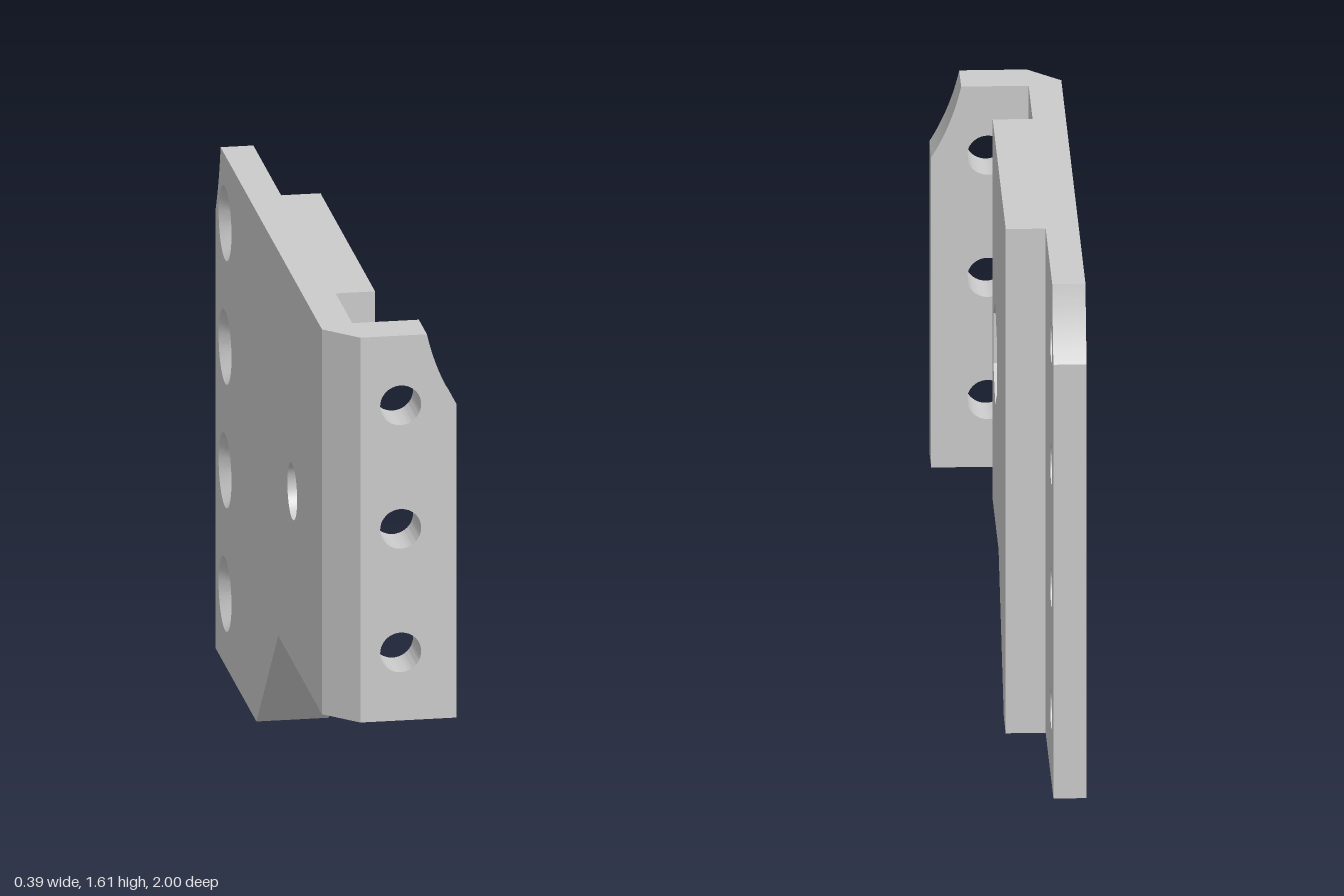
import * as THREE from 'three';
import { toCreasedNormals } from 'three/addons/utils/BufferGeometryUtils.js';

const TOP = 1.61, FLANGE_BOTTOM = 0.395;
const OUTER = -0.2, INNER = -0.1, BLOCK = 0.02; // x of plate outside, plate inside, block face
const FLANGE_BACK = 0.855;

const material = new THREE.MeshStandardMaterial({ color: 0xcccccc });

function addMesh(group, name, geometry) {
  const mesh = new THREE.Mesh(toCreasedNormals(geometry, 0.5), material);
  mesh.name = name;
  group.add(mesh);
  return mesh;
}

function extrude(shape, depth) {
  return new THREE.ExtrudeGeometry(shape, { depth, bevelEnabled: false, curveSegments: 24 });
}

// Side profiles are drawn in (-z, y) and extruded along x.
function extrudeX(shape, x0, x1) {
  return extrude(shape, x1 - x0).rotateY(Math.PI / 2).translate(x0, 0, 0);
}

function polygon(points) {
  return new THREE.Shape(points.map(([a, b]) => new THREE.Vector2(a, b)));
}

function cutCircle(shape, a, b, r) {
  shape.holes.push(new THREE.Path().absarc(a, b, r, 0, Math.PI * 2, true));
}

export function createModel() {
  const group = new THREE.Group();
  group.name = 'mountingBracket';

  const boltZ = 0.37, boltY = 0.93;
  const screwZ = -0.83, screwYs = [0.225, 0.615, 1.005, 1.395];
  const screwR = 0.0625, sinkR = 0.115;

  // Main plate with scooped rear top corner and sloped lower edge
  const plate = new THREE.Shape();
  plate.moveTo(-FLANGE_BACK, FLANGE_BOTTOM);
  plate.lineTo(-0.12, FLANGE_BOTTOM);
  plate.lineTo(0.27, 0);
  plate.lineTo(1, 0);
  plate.lineTo(1, 1.385);
  plate.quadraticCurveTo(0.937, 1.488, 0.91, TOP);
  plate.lineTo(-FLANGE_BACK, TOP);
  plate.closePath();
  cutCircle(plate, -boltZ, boltY, 0.087);
  for (const y of screwYs) cutCircle(plate, -screwZ, y, sinkR);
  addMesh(group, 'plate', extrudeX(plate, OUTER, INNER));

  // Countersunk seats that narrow the screw holes from the outside
  const seat = [[sinkR, INNER], [screwR, INNER], [screwR, -0.145], [sinkR, OUTER]]
    .map(([r, x]) => new THREE.Vector2(r, x));
  for (const y of screwYs) {
    const ring = new THREE.LatheGeometry(seat, 48).rotateZ(-Math.PI / 2);
    addMesh(group, 'countersunkSeat', ring).position.set(0, y, screwZ);
  }

  // Thick pad with hexagonal nut pocket
  const pad = polygon([
    [-0.56, FLANGE_BOTTOM], [-0.12, FLANGE_BOTTOM], [0.27, 0],
    [0.415, 0], [0.415, TOP], [-0.56, TOP],
  ]);
  const hex = [];
  for (let i = 0; i < 6; i++) {
    const a = Math.PI / 2 - i * Math.PI / 3;
    hex.push(new THREE.Vector2(-boltZ + 0.16 * Math.cos(a), boltY + 0.16 * Math.sin(a)));
  }
  pad.holes.push(new THREE.Path(hex));
  addMesh(group, 'nutPad', extrudeX(pad, INNER, BLOCK));

  // Chamfered corner joining plate and flange, drawn in (x, -z) and extruded up
  const corner = polygon([
    [OUTER, -FLANGE_BACK], [OUTER, -0.9], [INNER, -1], [INNER, -FLANGE_BACK],
  ]);
  addMesh(group, 'chamferedCorner',
    extrude(corner, TOP - FLANGE_BOTTOM).rotateX(-Math.PI / 2).translate(0, FLANGE_BOTTOM, 0));

  // Front flange with scooped top corner and three holes
  const flange = new THREE.Shape();
  flange.moveTo(INNER, FLANGE_BOTTOM);
  flange.lineTo(0.193, FLANGE_BOTTOM);
  flange.lineTo(0.193, 1.385);
  flange.quadraticCurveTo(0.13, 1.488, 0.103, TOP);
  flange.lineTo(INNER, TOP);
  flange.closePath();
  for (const y of [0.61, 1.0, 1.39]) cutCircle(flange, 0.023, y, screwR);
  addMesh(group, 'frontFlange', extrude(flange, 1 - FLANGE_BACK).translate(0, 0, FLANGE_BACK));

  return group;
}
